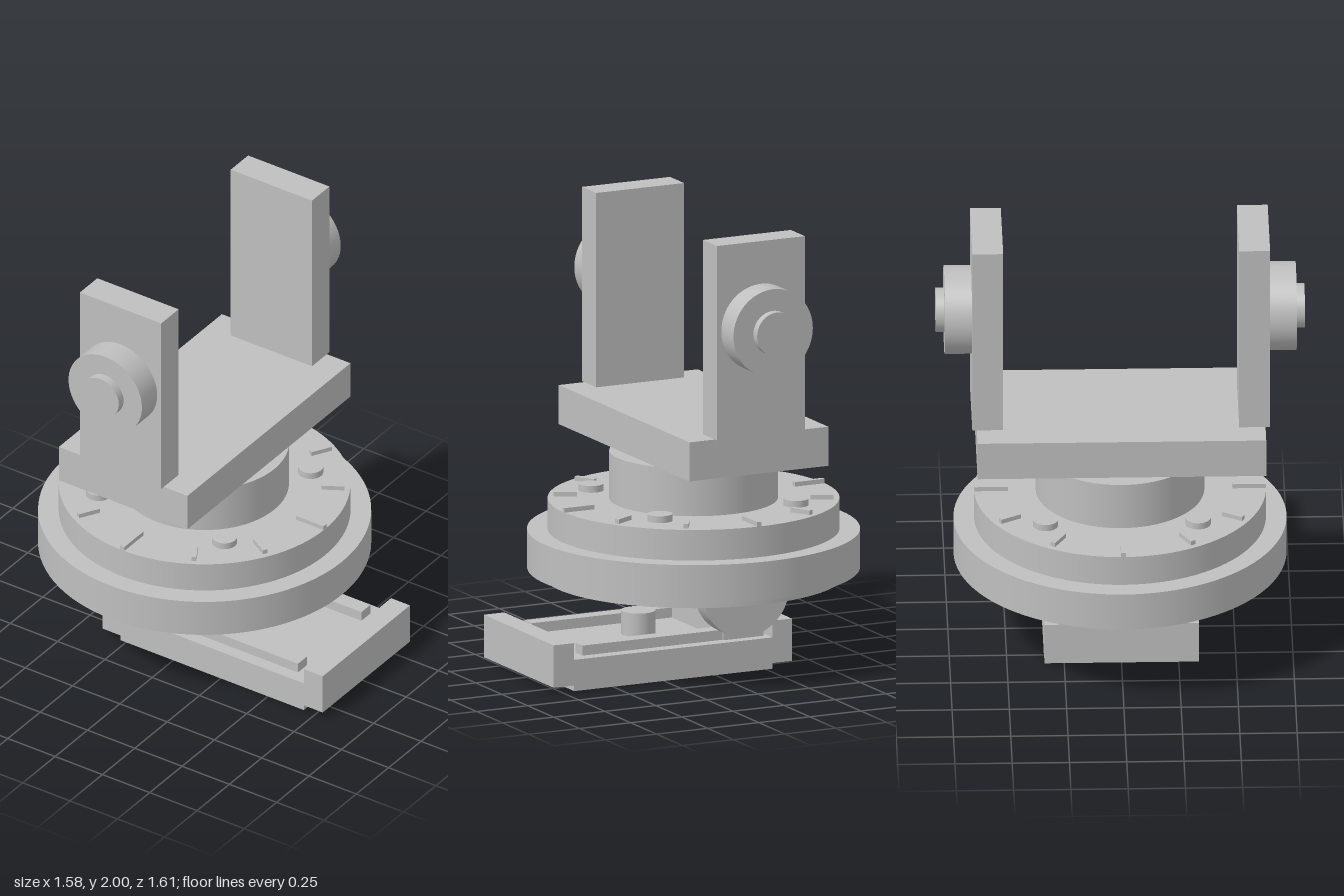
import * as THREE from 'three';

const AXIS_X = -0.065; // vertical axis of the turntable

export function createModel() {
  const group = new THREE.Group();
  const metal = new THREE.MeshStandardMaterial({ color: 0xbfbfbf });
  metal.name = 'grey metal';

  const add = (name, geometry) => {
    const mesh = new THREE.Mesh(geometry, metal);
    mesh.name = name;
    group.add(mesh);
    return mesh;
  };
  // box from its extents
  const box = (name, x0, x1, y0, y1, z0, z1) =>
    add(name, new THREE.BoxGeometry(x1 - x0, y1 - y0, z1 - z0))
      .position.set((x0 + x1) / 2, (y0 + y1) / 2, (z0 + z1) / 2);
  // upright cylinder
  const disc = (name, r, y0, y1, x = AXIS_X, z = 0, sides = 96) =>
    add(name, new THREE.CylinderGeometry(r, r, y1 - y0, sides)).position.set(x, (y0 + y1) / 2, z);
  // cylinder lying along z
  const axle = (name, r, y, z0, z1) => {
    const mesh = add(name, new THREE.CylinderGeometry(r, r, Math.abs(z1 - z0), 64).rotateX(Math.PI / 2));
    mesh.position.set(AXIS_X, y, (z0 + z1) / 2);
  };

  // base tray: stepped channel profile run along z
  const profile = new THREE.Shape([
    [-0.28, 0], [0.69, 0], [0.69, 0.025], [0.79, 0.025], [0.79, 0.215], [0.69, 0.215],
    [0.69, 0.14], [-0.28, 0.14], [-0.28, 0.215], [-0.375, 0.215], [-0.375, 0.025], [-0.28, 0.025],
  ].map(([x, y]) => new THREE.Vector2(x, y)));
  add('baseTray', new THREE.ExtrudeGeometry(profile, { depth: 0.674, bevelEnabled: false }).translate(0, 0, -0.337));

  // slide rails, clamp knob and support block
  for (const s of [-1, 1]) {
    box('slideRail', -0.1, 0.62, 0.14, 0.185, s * 0.245 - 0.035, s * 0.245 + 0.035);
  }
  disc('clampKnob', 0.075, 0.14, 0.245, 0.205, 0, 48);
  box('supportBlock', -0.26, AXIS_X, 0.14, 0.4, -0.29, 0.29);

  // tilt trunnion: lower halves of a shaft and two end flanges
  const half = (name, r, z0, z1) => {
    const shape = new THREE.Shape();
    shape.absarc(0, 0, r, Math.PI, Math.PI * 2, false);
    shape.closePath();
    const geometry = new THREE.ExtrudeGeometry(shape, { depth: z1 - z0, bevelEnabled: false, curveSegments: 48 });
    add(name, geometry).position.set(AXIS_X, 0.41, z0);
  };
  half('trunnionShaft', 0.145, -0.43, 0.43);
  half('trunnionFlange', 0.21, 0.42, 0.512);
  half('trunnionFlange', 0.21, -0.512, -0.42);

  // turntable stack
  disc('lowerLip', 0.66, 0.375, 0.41);
  disc('mainDisc', 0.727, 0.41, 0.583);
  disc('upperDisc', 0.637, 0.583, 0.72);
  disc('hub', 0.368, 0.72, 0.933);
  disc('neck', 0.25, 0.933, 0.955);

  // dial marks: long every quarter turn, short between
  for (let i = 0; i < 12; i++) {
    const a = (i * Math.PI) / 6;
    const [r0, r1] = i % 3 === 0 ? [0.49, 0.636] : [0.512, 0.612];
    const mark = add('dialMark', new THREE.BoxGeometry(r1 - r0, 0.03, 0.022).translate((r0 + r1) / 2, 0, 0));
    mark.position.set(AXIS_X, 0.725, 0);
    mark.rotation.y = a;
  }
  // round fasteners on the dial
  for (const sx of [-1, 1]) {
    for (const sz of [-1, 1]) {
      disc('dialFastener', 0.055, 0.71, 0.75, AXIS_X + sx * 0.333, sz * 0.333, 32);
    }
  }

  // yoke: platform, two posts, bearing bosses and pins
  box('yokePlatform', -0.405, 0.275, 0.955, 1.13, -0.63, 0.63);
  for (const s of [-1, 1]) {
    box('yokePost', -0.28, 0.15, 1.13, 2, s * 0.5825 - 0.0675, s * 0.5825 + 0.0675);
    axle('bearingBoss', 0.194, 1.615, s * 0.65, s * 0.768);
    axle('bearingPin', 0.097, 1.615, s * 0.76, s * 0.805);
  }
  return group;
}
